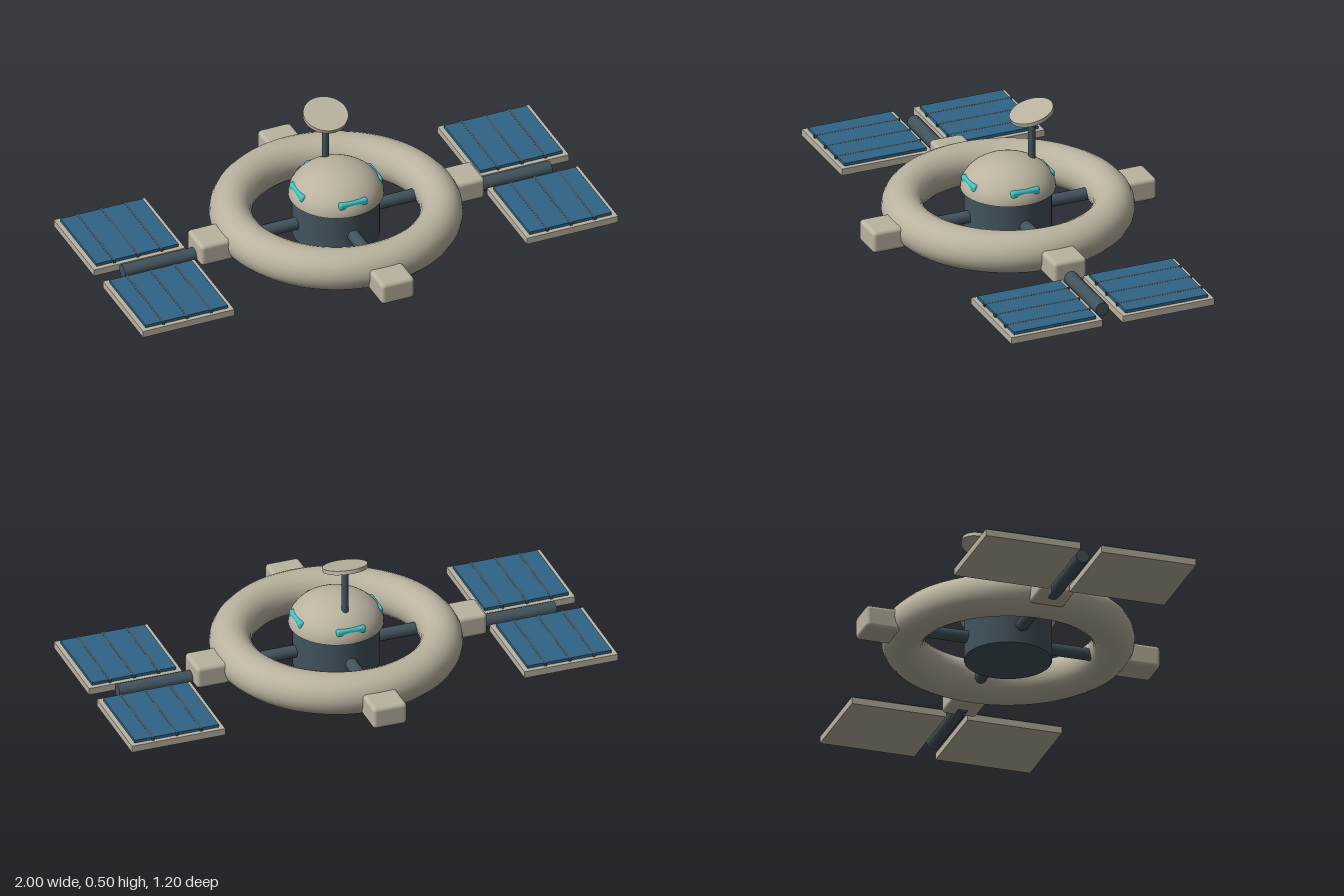
import * as THREE from 'three';
import { RoundedBoxGeometry } from 'three/addons/geometries/RoundedBoxGeometry.js';

const material = (color) => new THREE.MeshStandardMaterial({ color });

export function createModel() {
  const model = new THREE.Group();
  const hull = material(0xbab3a0);
  const dark = material(0x42535c);
  const cells = material(0x2f6485);
  const glow = material(0x3cc4c4);

  function add(parent, name, geometry, mat, x = 0, y = 0, z = 0) {
    const mesh = new THREE.Mesh(geometry, mat);
    mesh.name = name;
    mesh.position.set(x, y, z);
    parent.add(mesh);
    return mesh;
  }

  // Habitat ring
  const ring = add(model, 'habitatRing', new THREE.TorusGeometry(0.407, 0.083, 20, 72), hull, 0, 0.09, 0);
  ring.rotation.x = Math.PI / 2;

  // Central hub with its dome
  add(model, 'hub', new THREE.CylinderGeometry(0.17, 0.17, 0.18, 32), dark, 0, 0.09, 0);
  const dome = add(model, 'dome', new THREE.SphereGeometry(0.185, 40, 14, 0, Math.PI * 2, 0, Math.PI / 2), hull, 0, 0.173, 0);
  dome.scale.y = 0.127 / 0.185;
  const domeBase = add(model, 'domeBase', new THREE.CircleGeometry(0.185, 40), hull, 0, 0.173, 0);
  domeBase.rotation.x = Math.PI / 2;

  // Four arms: spoke, docking module and dome window on each side
  for (let i = 0; i < 4; i++) {
    const arm = new THREE.Group();
    arm.name = 'arm' + (i + 1);
    arm.rotation.y = i * Math.PI / 2;
    model.add(arm);
    const spoke = add(arm, 'spoke', new THREE.CylinderGeometry(0.025, 0.025, 0.24, 14), dark, 0.25, 0.075, 0);
    spoke.rotation.z = Math.PI / 2;
    add(arm, 'dockingModule', new RoundedBoxGeometry(0.14, 0.092, 0.14, 3, 0.016), hull, 0.528, 0.074, 0);
    add(arm, 'window', new RoundedBoxGeometry(0.03, 0.03, 0.12, 3, 0.01), glow, 0.158, 0.217, 0);
  }

  // Solar wings on both sides
  for (const side of [-1, 1]) {
    const wing = new THREE.Group();
    wing.name = side > 0 ? 'leftWing' : 'rightWing';
    model.add(wing);
    const boom = add(wing, 'boom', new THREE.CylinderGeometry(0.028, 0.028, 0.36, 12), dark, side * 0.72, 0.047, 0);
    boom.rotation.z = Math.PI / 2;

    for (const end of [-1, 1]) {
      const panel = new THREE.Group();
      panel.name = 'solarPanel';
      panel.position.set(side * 0.808, 0.04, end * 0.235);
      wing.add(panel);
      add(panel, 'panelFrame', new THREE.BoxGeometry(0.384, 0.028, 0.384), hull);
      add(panel, 'solarCells', new THREE.BoxGeometry(0.346, 0.014, 0.346), cells, 0, 0.019, 0);
      for (let k = -1; k <= 1; k++) {
        add(panel, 'cellDivider', new THREE.BoxGeometry(0.01, 0.012, 0.36), dark, k * 0.1, 0.0205, 0);
      }
    }
  }

  // Antenna mast and tilted dish
  add(model, 'antennaMast', new THREE.CylinderGeometry(0.014, 0.014, 0.2, 14), dark, 0, 0.36, -0.1);
  const dish = add(model, 'antennaDish', new THREE.CylinderGeometry(0.088, 0.088, 0.016, 36), hull, 0, 0.469, -0.1);
  dish.rotation.x = 0.29;

  return model;
}
